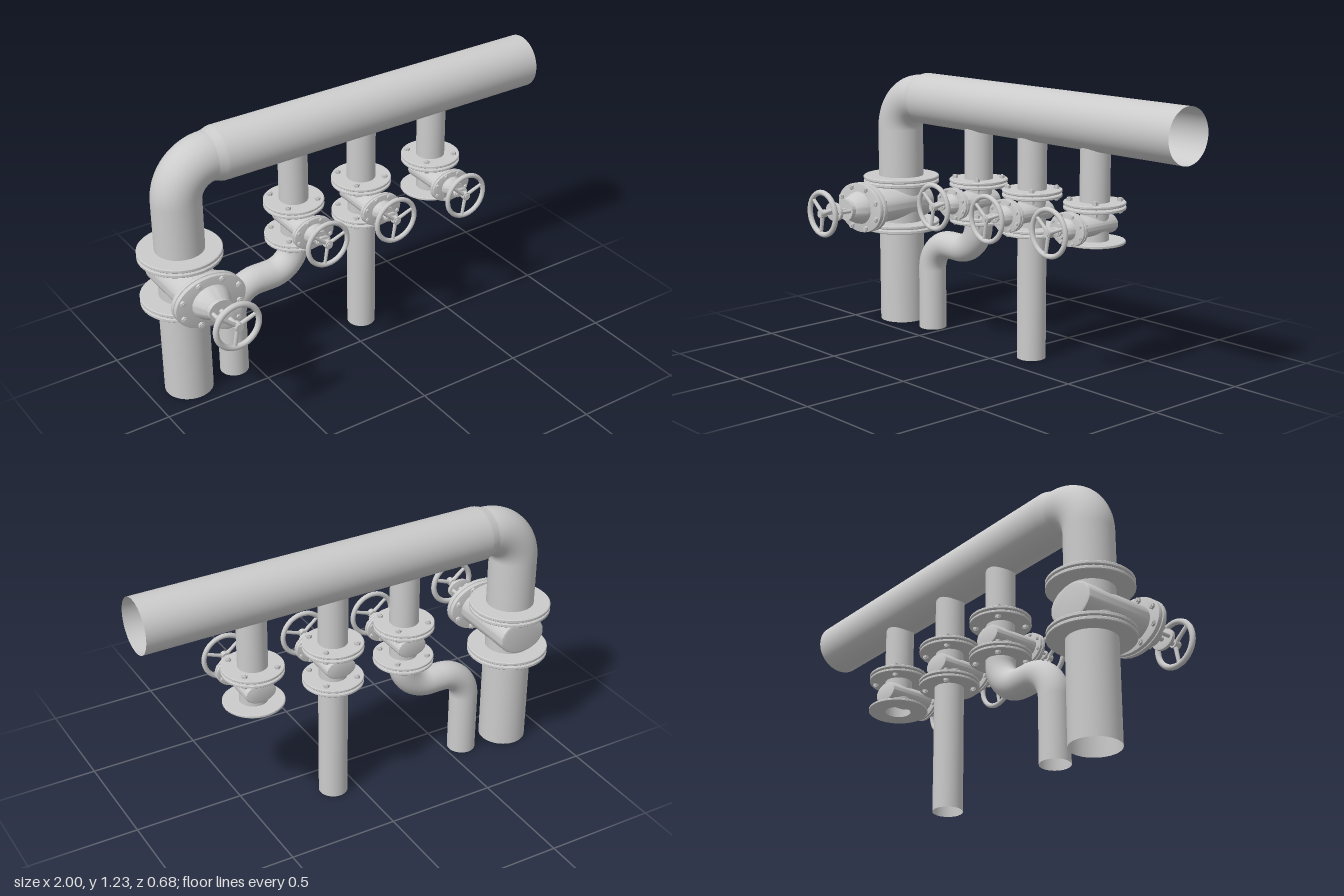
import * as THREE from 'three';
import { toCreasedNormals } from 'three/addons/utils/BufferGeometryUtils.js';

const mat = new THREE.MeshStandardMaterial({ color: 0xcccccc, side: THREE.DoubleSide });
const AXIS_Z = -0.155;

function add(parent, name, geo, x = 0, y = 0, z = 0) {
  const m = new THREE.Mesh(geo, mat);
  m.name = name;
  m.position.set(x, y, z);
  parent.add(m);
  return m;
}

// Turned part from [radius, height] pairs
function turned(points, seg = 48) {
  const pts = points.map(([r, h]) => new THREE.Vector2(r, h));
  return toCreasedNormals(new THREE.LatheGeometry(pts, seg), 0.5);
}

function openPipe(r, y0, y1) {
  return new THREE.CylinderGeometry(r, r, y1 - y0, 48, 1, true).translate(0, (y0 + y1) / 2, 0);
}

// Oval slab along z with softened rims
function oval(rx, ry, z0, z1, bevel) {
  const shape = new THREE.Shape();
  shape.absellipse(0, 0, rx - bevel, ry - bevel, 0, Math.PI * 2);
  const geo = new THREE.ExtrudeGeometry(shape, {
    depth: z1 - z0 - 2 * bevel, curveSegments: 28,
    bevelThickness: bevel, bevelSize: bevel, bevelSegments: 2,
  });
  return toCreasedNormals(geo.translate(0, 0, z0 + bevel), 0.6);
}

// Pipe through corner points in the xy plane, rounded at each corner
function bentPipe(points, bend, r) {
  const path = new THREE.CurvePath();
  const p = points.map(([x, y]) => new THREE.Vector3(x, y, 0));
  let from = p[0];
  for (let i = 1; i < p.length - 1; i++) {
    const a = p[i].clone().add(p[i - 1].clone().sub(p[i]).setLength(bend));
    const b = p[i].clone().add(p[i + 1].clone().sub(p[i]).setLength(bend));
    path.add(new THREE.LineCurve3(from, a));
    path.add(new THREE.CubicBezierCurve3(a, a.clone().lerp(p[i], 0.5523), b.clone().lerp(p[i], 0.5523), b));
    from = b;
  }
  path.add(new THREE.LineCurve3(from, p[p.length - 1]));
  return new THREE.TubeGeometry(path, 110, r, 40, false);
}

// Flange ring standing on y
function ring(parent, inner, outer, y, t) {
  const b = t * 0.2;
  add(parent, 'flange', turned([[inner, 0], [outer - b, 0], [outer, b], [outer, t - b],
    [outer - b, t], [inner, t], [inner, 0]], 56), 0, y, 0);
}

// Bolt with a hex head and nut, lying along y
function bolt(parent, r, length, x, y, z, alongZ) {
  const g = new THREE.Group();
  g.name = 'bolt';
  add(g, 'shank', new THREE.CylinderGeometry(r * 0.6, r * 0.6, length, 10));
  const hex = new THREE.CylinderGeometry(r, r, r * 0.9, 6).toNonIndexed();
  hex.computeVertexNormals();
  for (const s of [-1, 1]) add(g, s > 0 ? 'boltHead' : 'nut', hex, 0, s * length * 0.36, 0);
  if (alongZ) g.rotation.x = Math.PI / 2;
  g.position.set(x, y, z);
  parent.add(g);
}

function handWheel(r, tube) {
  const g = new THREE.Group();
  g.name = 'handWheel';
  add(g, 'rim', new THREE.TorusGeometry(r - tube, tube, 14, 48));
  add(g, 'hub', new THREE.CylinderGeometry(r * 0.17, r * 0.17, tube * 2.2, 20).rotateX(Math.PI / 2));
  for (let i = 0; i < 3; i++) {
    const spoke = new THREE.CylinderGeometry(tube * 0.65, tube * 0.8, r - tube, 10);
    spoke.translate(0, (r - tube) / 2, 0).rotateZ(-Math.PI / 2 + 0.35 + i * Math.PI * 2 / 3);
    add(g, 'spoke', spoke);
  }
  return g;
}

// Gate valve centred on the pipe axis, with its wheel facing +z
function valve(v) {
  const g = new THREE.Group();
  g.name = 'gateValve';

  // Pipe flanges, paired with the neighbouring pipe's flange
  for (const s of [-1, 1]) {
    const place = (d) => (s > 0 ? d : -d - v.flangeT);
    ring(g, v.pipeR * 0.88, v.flangeR, place(v.faceIn), v.flangeT);
    if (s > 0 || !v.openEnd) {
      ring(g, v.pipeR * 0.88, v.flangeR, place(v.faceOut - v.flangeT), v.flangeT);
      const mid = s * (v.faceIn + v.faceOut) / 2;
      add(g, 'gasket', openPipe(v.flangeR * 0.8, mid - 0.006, mid + 0.006));
      if (v.flangeBolts) for (let i = 0; i < 4; i++) {
        const a = Math.PI / 4 + i * Math.PI / 2;
        bolt(g, 0.013, 0.068, Math.cos(a) * v.flangeR * 0.8, mid, Math.sin(a) * v.flangeR * 0.8);
      }
    }
  }

  // Body: vertical neck crossed by the oval gate housing
  add(g, 'neck', openPipe(v.pipeR * 0.95, -v.faceIn, v.faceIn));
  add(g, 'gateHousing', oval(v.bodyX, v.bodyY, v.back, v.bonnet0 + 0.004, v.bodyY * 0.1));

  // Bolted oval bonnet flanges
  const t = (v.bonnet1 - v.bonnet0) * 0.45;
  add(g, 'bonnetFlange', oval(v.bonnetX, v.bonnetY, v.bonnet0, v.bonnet0 + t, 0.002));
  add(g, 'bonnetGasket', oval(v.bonnetX * 0.93, v.bonnetY * 0.93, v.bonnet0 + t / 2, v.bonnet1 - t / 2, 0.001));
  add(g, 'bonnetFlange', oval(v.bonnetX, v.bonnetY, v.bonnet1 - t, v.bonnet1, 0.002));
  for (let i = 0; i < 8; i++) {
    const a = Math.PI / 8 + i * Math.PI / 4;
    bolt(g, v.boltR, (v.bonnet1 - v.bonnet0) * 1.7, Math.cos(a) * v.bonnetX * 0.86,
      Math.sin(a) * v.bonnetY * 0.86, (v.bonnet0 + v.bonnet1) / 2, true);
  }

  // Bonnet cone, slightly wider than tall
  const h = v.coneEnd - v.bonnet1;
  const cone = turned([[v.coneR, -0.002], [v.coneR * 0.95, h * 0.2], [v.coneR * 0.68, h * 0.72],
    [v.coneR * 0.64, h * 0.76], [v.coneR * 0.64, h], [0, h]]);
  add(g, 'bonnet', cone.rotateX(Math.PI / 2).scale(1.15, 1, 1), 0, 0, v.bonnet1);

  // Stem, yoke rods and gland plate
  const rod = (r, z0, z1) => new THREE.CylinderGeometry(r, r, z1 - z0, 16)
    .rotateX(Math.PI / 2).translate(0, 0, (z0 + z1) / 2);
  add(g, 'stem', rod(v.stemR, v.coneEnd - 0.01, v.tip));
  add(g, 'stemNut', rod(v.stemR * 1.6, v.wheelZ + v.tube, v.wheelZ + v.tube + 0.006));
  add(g, 'glandPlate', oval(v.glandX, v.glandY, v.glandZ - v.glandT / 2, v.glandZ + v.glandT / 2, 0.002));
  for (const s of [-1, 1]) {
    add(g, 'yokeRod', rod(v.stemR * 0.8, v.coneEnd - 0.01, v.glandZ + v.glandT), s * v.glandX * 0.65);
  }

  const wheel = handWheel(v.wheelR, v.tube);
  wheel.position.z = v.wheelZ;
  g.add(wheel);
  return g;
}

const LARGE = {
  pipeR: 0.108, flangeR: 0.183, flangeT: 0.017, faceIn: 0.092, faceOut: 0.131,
  bodyX: 0.115, bodyY: 0.085, back: -0.115, bonnet0: 0.215, bonnet1: 0.259, bonnetX: 0.165, bonnetY: 0.118,
  boltR: 0.014, coneR: 0.078, coneEnd: 0.343, stemR: 0.011, tip: 0.492,
  glandX: 0.06, glandY: 0.045, glandZ: 0.405, glandT: 0.016, wheelR: 0.113, tube: 0.013, wheelZ: 0.473,
};
const SMALL = {
  pipeR: 0.065, flangeR: 0.134, flangeT: 0.013, faceIn: 0.067, faceOut: 0.1, flangeBolts: true,
  bodyX: 0.07, bodyY: 0.046, back: -0.075, bonnet0: 0.14, bonnet1: 0.166, bonnetX: 0.1, bonnetY: 0.073,
  boltR: 0.009, coneR: 0.047, coneEnd: 0.212, stemR: 0.008, tip: 0.289,
  glandX: 0.036, glandY: 0.02, glandZ: 0.235, glandT: 0.01, wheelR: 0.11, tube: 0.011, wheelZ: 0.271,
};

export function createModel() {
  const model = new THREE.Group();
  model.name = 'pipeManifold';
  const line = new THREE.Group();
  line.name = 'pipework';
  line.position.z = AXIS_Z;
  model.add(line);

  // Header pipe with its reducer
  const header = turned([[0.108, -0.66], [0.11, -0.65], [0.118, -0.625], [0.12, -0.615], [0.12, 1]], 64);
  add(line, 'headerPipe', header.rotateZ(-Math.PI / 2), 0, 1.107, 0);

  // Main riser
  add(line, 'riserElbow', bentPipe([[-0.815, 0.69], [-0.815, 1.107], [-0.645, 1.107]], 0.16, 0.108));
  add(line, 'riserPipe', openPipe(0.108, 0, 0.48), -0.815);
  const big = valve(LARGE);
  big.position.set(-0.815, 0.586, 0);
  line.add(big);

  // Branch valves hung from the header
  [-0.248, 0.108, 0.492].forEach((x, i) => {
    add(line, 'branchPipe', openPipe(0.065, 0.75, 1.015), x);
    const v = valve({ ...SMALL, openEnd: i === 2 });
    v.position.set(x, 0.674, 0);
    line.add(v);
  });

  // Outlets below the valves
  add(line, 'offsetOutletPipe', bentPipe([[-0.248, 0.595], [-0.248, 0.425], [-0.583, 0.425], [-0.583, 0]], 0.135, 0.065));
  add(line, 'straightOutletPipe', openPipe(0.065, 0, 0.595), 0.108);

  return model;
}
